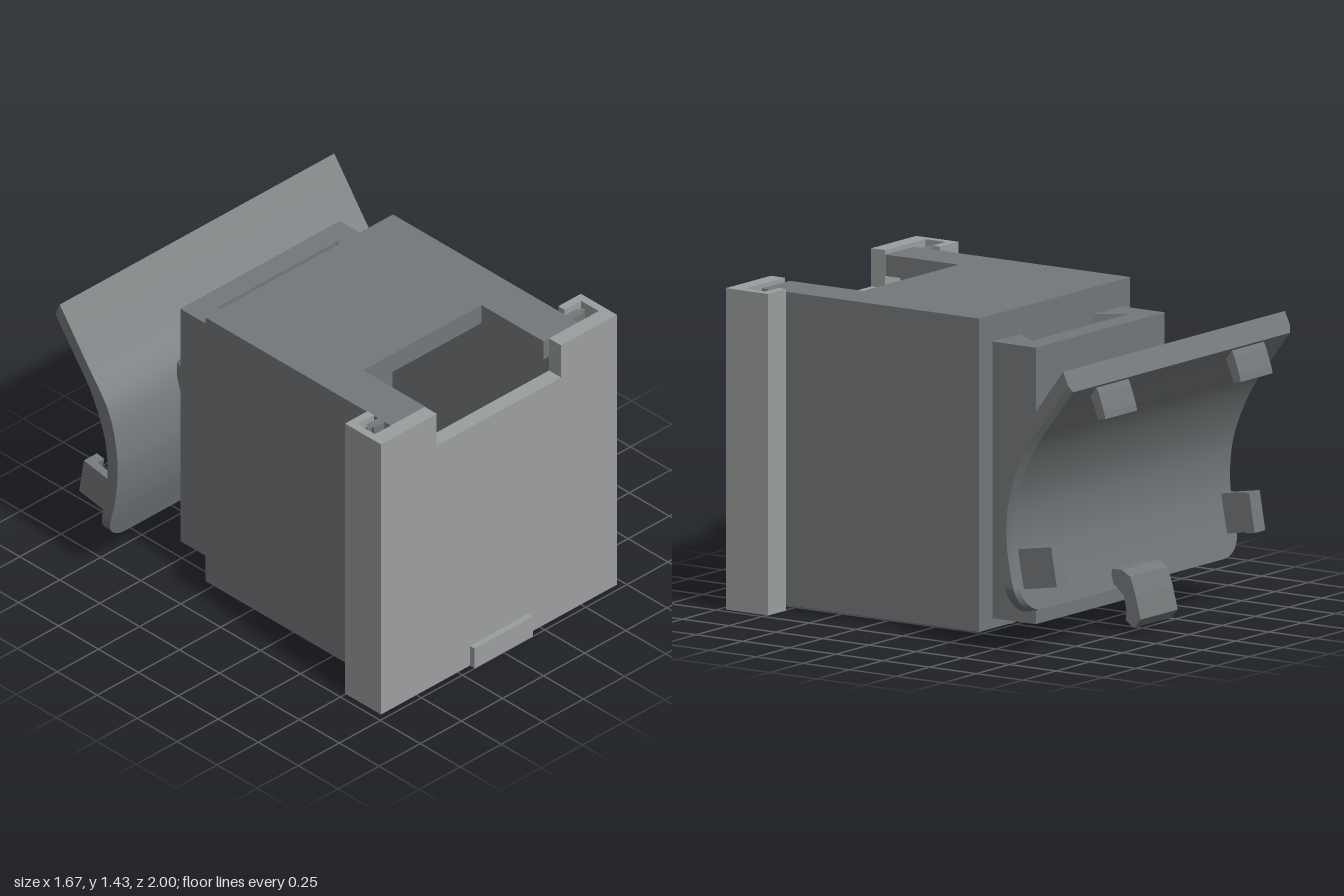
import * as THREE from 'three';
import { toCreasedNormals } from 'three/addons/utils/BufferGeometryUtils.js';
import { RoundedBoxGeometry } from 'three/addons/geometries/RoundedBoxGeometry.js';

export function createModel() {
  const model = new THREE.Group();
  model.name = 'clipMountBox';
  const lightGrey = new THREE.MeshStandardMaterial({ color: 0x9c9fa0 });
  lightGrey.name = 'light grey';
  const darkGrey = new THREE.MeshStandardMaterial({ color: 0x74787a });
  darkGrey.name = 'dark grey';

  const add = (name, geometry, material) => {
    const mesh = new THREE.Mesh(geometry, material);
    mesh.name = name;
    model.add(mesh);
    return mesh;
  };
  // Box given by its limits on each axis
  const box = (name, mat, x0, x1, y0, y1, z0, z1) =>
    add(name, new THREE.BoxGeometry(x1 - x0, y1 - y0, z1 - z0)
      .translate((x0 + x1) / 2, (y0 + y1) / 2, (z0 + z1) / 2), mat);
  const outline = (pts) => new THREE.Shape(pts.map(([a, b]) => new THREE.Vector2(a, b)));
  // Plan outline [x, z] raised from y0 to y1
  const raise = (name, mat, pts, y0, y1) =>
    add(name, new THREE.ExtrudeGeometry(outline(pts.map(([x, z]) => [x, -z])),
      { depth: y1 - y0, bevelEnabled: false }).rotateX(-Math.PI / 2).translate(0, y0, 0), mat);
  // Side outline [z, y] stretched from x0 to x1
  const stretch = (name, mat, pts, x0, x1) =>
    add(name, new THREE.ExtrudeGeometry(outline(pts.map(([z, y]) => [-z, y])),
      { depth: x1 - x0, bevelEnabled: false }).rotateY(Math.PI / 2).translate(x0, 0, 0), mat);
  const mirrored = (pts) => [...pts, ...pts.map(([x, z]) => [-x, z]).reverse()];

  // Sliding front cover with C-shaped side channels and a notch at the top
  const channel = [[0.717, 0.97], [0.717, 0.745], [0.58, 0.745], [0.58, 0.785],
    [0.68, 0.785], [0.68, 0.895]];
  raise('frontCover', lightGrey, mirrored(channel), 0, 1.26);
  for (const s of [1, -1]) {
    const corner = [[0.378, 0.97], ...channel, [0.378, 0.895]].map(([x, z]) => [s * x, z]);
    raise('frontCoverCorner', lightGrey, corner, 1.26, 1.43);
    // Stop closing the channel at the bottom
    const [a, b] = s > 0 ? [0.58, 0.7] : [-0.7, -0.58];
    box('channelStop', lightGrey, a, b, 0, 0.018, 0.76, 0.93);
  }
  box('coverTab', lightGrey, -0.177, 0.177, 0, 0.105, 0.97, 1);

  // Hollow box, open at the front, with a cutout in its top
  raise('boxWalls', darkGrey, mirrored([[0.57, 0.88], [0.57, -0.28]])
    .concat([[-0.47, 0.88], [-0.47, -0.18], [0.47, -0.18], [0.47, 0.88]]
      .map((p) => p)), 0.02, 1.415);
  box('boxFloor', darkGrey, -0.47, 0.47, 0.02, 0.12, -0.18, 0.88);
  raise('boxTop', darkGrey, mirrored([[0.36, 0.49], [0.36, 0.88], [0.47, 0.88], [0.47, -0.18]]),
    1.32, 1.415);

  // Rails that run in the cover channels
  for (const s of [1, -1]) {
    raise('sideRail', darkGrey, [[0.565, 0.8], [0.635, 0.8], [0.635, 0.81], [0.66, 0.81],
      [0.66, 0.83], [0.635, 0.83], [0.635, 0.842], [0.565, 0.842]]
      .map(([x, z]) => [s * x, z]), 0.02, 1.415);
  }

  // Dovetail on the box and the slotted block that takes it
  raise('dovetail', darkGrey, mirrored([[0.26, -0.275], [0.345, -0.405]]), 0.25, 1.18);
  raise('mountBlock', darkGrey, mirrored([[0.275, -0.293], [0.485, -0.293], [0.485, -0.525]])
    .concat([[-0.37, -0.42], [0.37, -0.42]].map(([x, z]) => [x, z])), 0.25, 1.3);
  box('mountBlockBase', darkGrey, -0.485, 0.485, 0.07, 0.25, -0.525, -0.293);

  // Pad joining the block to the curved plate
  add('joiningPad', new RoundedBoxGeometry(0.85, 0.565, 0.13, 3, 0.025)
    .translate(0, 0.672, -0.557), darkGrey);

  // Curved plate: front and back profiles [z, y] from the bottom up
  const curve = (pts) => new THREE.CatmullRomCurve3(pts.map(([z, y]) => new THREE.Vector3(0, y, z)));
  const front = curve([[-0.64, 0.176], [-0.58, 0.39], [-0.56, 0.525], [-0.56, 0.66],
    [-0.61, 0.87], [-0.76, 1.08], [-0.92, 1.295]]);
  const back = curve([[-0.7, 0.19], [-0.66, 0.365], [-0.64, 0.53], [-0.66, 0.71],
    [-0.747, 0.915], [-0.85, 1.06], [-0.96, 1.205]]);
  const plate = new THREE.BoxGeometry(2, 1, 1, 1, 48, 2);
  const pos = plate.attributes.position;
  const radius = 0.13;
  for (let i = 0; i < pos.count; i++) {
    const t = (pos.getY(i) + 0.5) ** 1.6;
    const depth = [0, 0.7, 1][Math.round((0.5 - pos.getZ(i)) * 2)];
    const p = front.getPoint(t).lerp(back.getPoint(t), depth);
    // Rounded lower corners and a narrow bevel on the back
    const d = Math.max(0, radius - t * 1.25);
    const half = 0.835 - radius + Math.sqrt(radius * radius - d * d) - (depth === 1 ? 0.02 : 0);
    pos.setXYZ(i, pos.getX(i) * half, p.y, p.z);
  }
  add('curvedPlate', toCreasedNormals(plate, 0.5), darkGrey);

  // Clips on the back of the plate
  for (const s of [1, -1]) {
    const span = (a, b) => (s > 0 ? [a, b] : [-b, -a]);
    stretch('topHook', darkGrey, [[-0.91, 1.17], [-0.95, 1.2], [-0.965, 1.17], [-0.993, 1.09],
      [-1, 1.06], [-0.96, 1.053], [-0.945, 1.1]], ...span(0.39, 0.63));
    stretch('sideClip', darkGrey, [[-0.64, 0.465], [-0.82, 0.495], [-0.85, 0.32],
      [-0.67, 0.29]], ...span(0.745, 0.785));
    stretch('sideClipLip', darkGrey, [[-0.775, 0.487], [-0.82, 0.495], [-0.85, 0.32],
      [-0.805, 0.313]], ...span(0.705, 0.745));
  }
  stretch('bottomClip', darkGrey, [[-0.67, 0.22], [-0.69, 0.28], [-0.74, 0.28], [-0.785, 0.255],
    [-0.815, 0.17], [-0.84, 0.07], [-0.805, 0.03], [-0.76, 0.06], [-0.765, 0.1],
    [-0.75, 0.17], [-0.7, 0.21]], -0.14, 0.14);

  return model;
}
